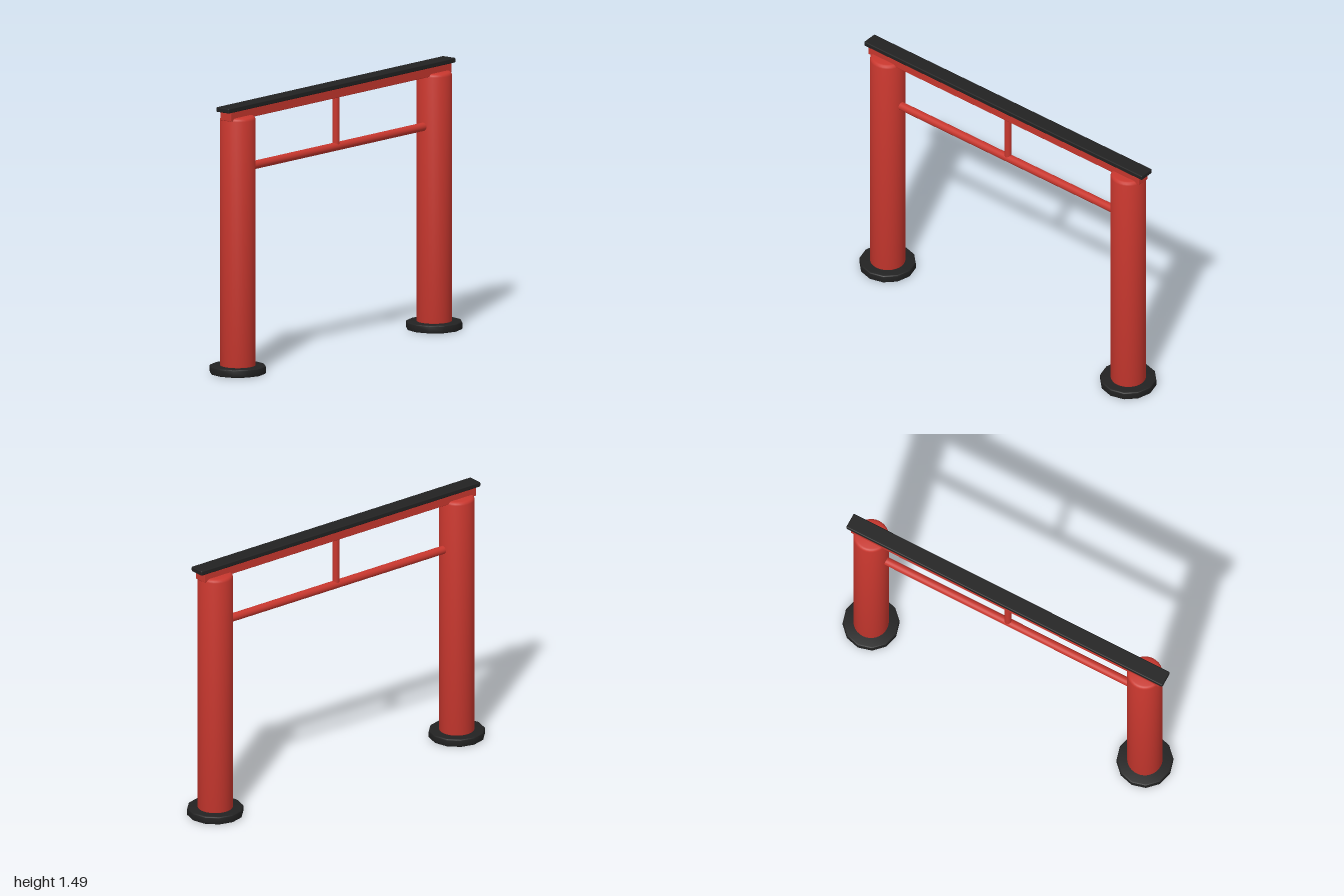
import * as THREE from 'three';
import { toCreasedNormals } from 'three/addons/utils/BufferGeometryUtils.js';
import { RoundedBoxGeometry } from 'three/addons/geometries/RoundedBoxGeometry.js';

const red = new THREE.MeshStandardMaterial({ name: 'vermilion red', color: 0xc8372e });
const black = new THREE.MeshStandardMaterial({ name: 'charcoal black', color: 0x222222 });

// Upright cylinder with rounded rims, standing on y = 0
function roundedCylinder(radius, height, rim, sides) {
  const points = [new THREE.Vector2(0, 0)];
  const steps = 3;
  for (const top of [false, true]) {
    for (let i = 0; i <= steps; i++) {
      const a = (i / steps) * Math.PI / 2;
      const out = top ? Math.cos(a) : Math.sin(a);
      const up = top ? height - rim + rim * Math.sin(a) : rim - rim * Math.cos(a);
      points.push(new THREE.Vector2(radius - rim + rim * out, up));
    }
  }
  points.push(new THREE.Vector2(0, height));
  return toCreasedNormals(new THREE.LatheGeometry(points, sides), 0.6);
}

export function createModel() {
  const model = new THREE.Group();
  model.name = 'gateway';

  function add(name, geometry, material, x, y, parent = model) {
    const mesh = new THREE.Mesh(geometry, material);
    mesh.name = name;
    mesh.position.set(x, y, 0);
    parent.add(mesh);
    return mesh;
  }

  // Two posts on twelve-sided feet
  const postShape = roundedCylinder(0.097, 1.395, 0.018, 32);
  const footShape = roundedCylinder(0.155, 0.044, 0.007, 12);
  for (const [side, s] of [['left', 1], ['right', -1]]) {
    const post = new THREE.Group();
    post.name = side + 'Pillar';
    model.add(post);
    add(side + 'Foot', footShape, black, s * 0.845, 0, post);
    add(side + 'Post', postShape, red, s * 0.845, 0.03, post);
  }

  // Top beam with its dark cap
  add('topBeam', new RoundedBoxGeometry(1.9, 0.055, 0.076, 2, 0.004), red, 0, 1.438);
  add('beamCap', new RoundedBoxGeometry(1.952, 0.027, 0.09, 2, 0.006), black, 0, 1.4735);

  // Lower tie bar and centre strut
  const tie = add('tieBar', new THREE.CylinderGeometry(0.023, 0.023, 1.54, 20), red, 0, 1.132);
  tie.rotation.z = Math.PI / 2;
  add('centreStrut', new THREE.CylinderGeometry(0.019, 0.019, 0.28, 16), red, 0, 1.28);

  return model;
}
